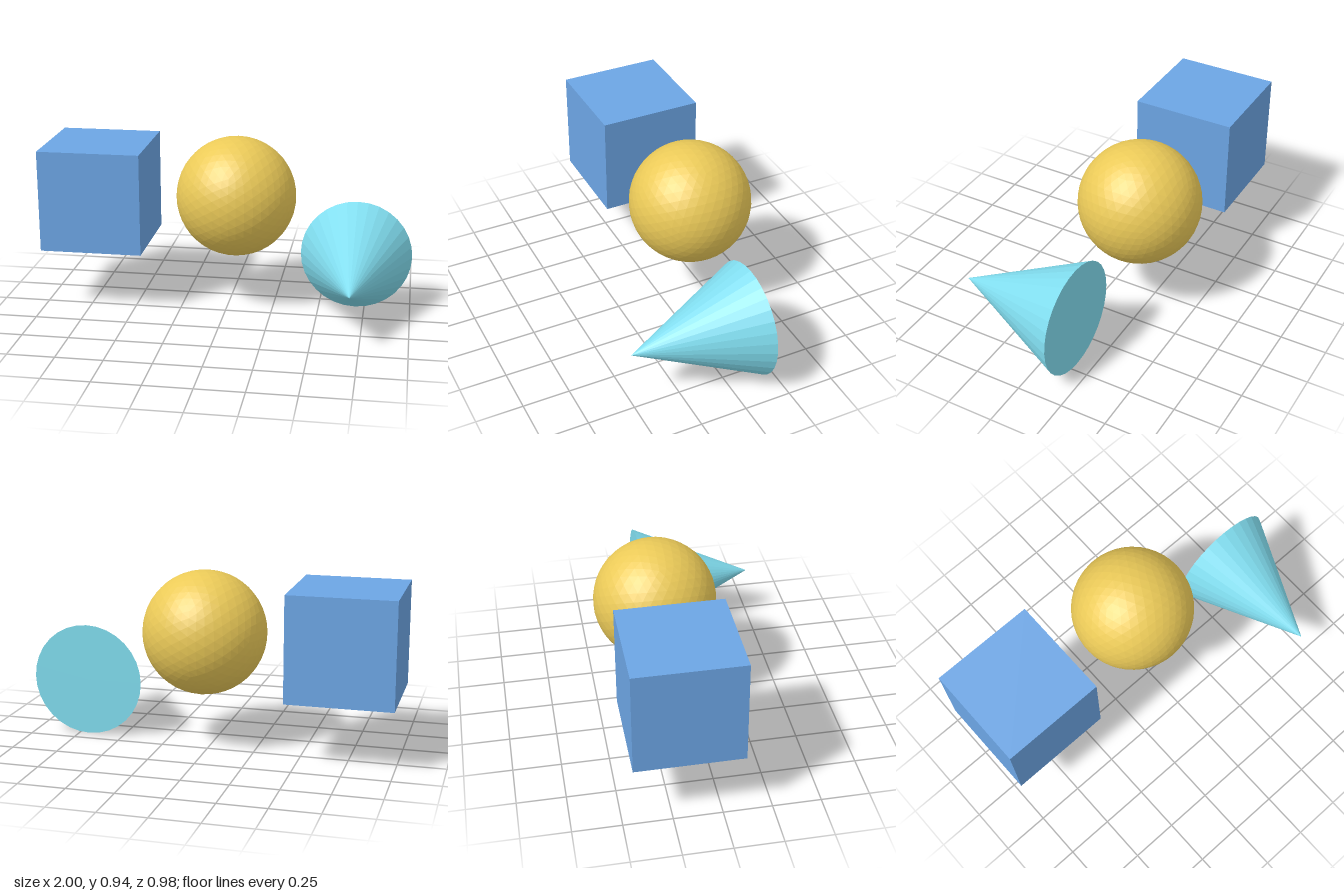
import * as THREE from 'three';

// Adds one flat-shaded solid to the group
function addSolid(group, name, geometry, color, x, y, z) {
  const material = new THREE.MeshStandardMaterial({ color, flatShading: true });
  const mesh = new THREE.Mesh(geometry, material);
  mesh.name = name;
  mesh.position.set(x, y, z);
  group.add(mesh);
  return mesh;
}

export function createModel() {
  const group = new THREE.Group();
  group.name = 'primitiveSolids';

  // Cube on the model's right
  addSolid(group, 'cube', new THREE.BoxGeometry(0.555, 0.555, 0.555), 0x6ca5e4, -0.7225, 0.61, -0.165);

  // Faceted ball in the middle
  addSolid(group, 'sphere', new THREE.IcosahedronGeometry(0.327, 7), 0xebca58, 0.035, 0.61, -0.165);

  // Cone on the model's left, its tip pointing forward
  const cone = new THREE.ConeGeometry(0.303, 0.655, 32).rotateX(Math.PI / 2);
  addSolid(group, 'cone', cone, 0x80dcee, 0.697, 0.303, 0.1625);

  return group;
}
